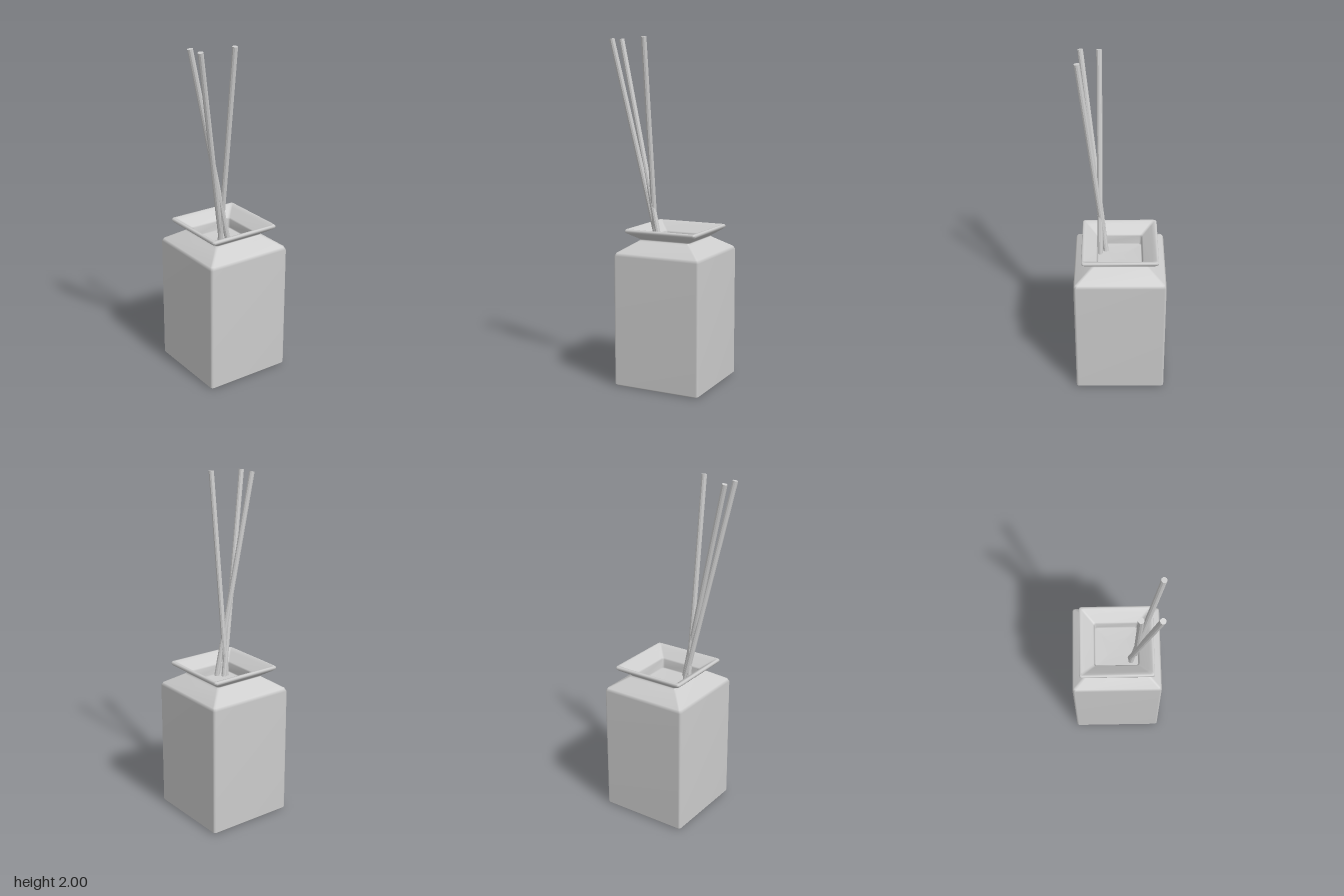
import * as THREE from 'three';

const CORNER = 0.014; // radius of the rounded vertical edges
const STEPS = 2;      // segments per rounded corner

// Rounded-square cross-section of half width h
function section(h) {
  const r = Math.min(CORNER, h), pts = [];
  for (let q = 0; q < 4; q++) {
    const mid = (q + 0.5) * Math.PI / 2;
    const cx = Math.sign(Math.cos(mid)) * (h - r), cz = Math.sign(Math.sin(mid)) * (h - r);
    for (let s = 0; s <= STEPS; s++) {
      const a = (q + s / STEPS) * Math.PI / 2;
      pts.push([cx + r * Math.cos(a), cz + r * Math.sin(a)]);
    }
  }
  return pts;
}

// Skin a [halfWidth, y] profile with rounded-square sections
function squareLathe(profile) {
  const pos = [], index = [], n = 4 * (STEPS + 1);
  profile.forEach(([h, y], i) => {
    for (const [x, z] of section(h)) pos.push(x, y, z);
    if (i === 0) return;
    for (let j = 0; j < n; j++) {
      const k = (j + 1) % n, lo = (i - 1) * n, hi = i * n;
      index.push(lo + j, hi + j, lo + k, hi + j, hi + k, lo + k);
    }
  });
  const geo = new THREE.BufferGeometry();
  geo.setAttribute('position', new THREE.Float32BufferAttribute(pos, 3));
  geo.setIndex(index);
  geo.computeVertexNormals();
  return geo;
}

// Straight stick between two points
function stick(from, to, radius, material) {
  const a = new THREE.Vector3(...from), b = new THREE.Vector3(...to);
  const dir = b.clone().sub(a);
  const mesh = new THREE.Mesh(new THREE.CylinderGeometry(radius, radius, dir.length(), 10), material);
  mesh.position.copy(a).add(b).multiplyScalar(0.5);
  mesh.quaternion.setFromUnitVectors(new THREE.Vector3(0, 1, 0), dir.normalize());
  return mesh;
}

export function createModel() {
  const group = new THREE.Group();
  const glass = new THREE.MeshStandardMaterial({ color: 0xcccccc });
  const wood = new THREE.MeshStandardMaterial({ color: 0xcccccc, flatShading: true });

  // Bottle: base, body, shoulder, neck, flared lip, then down inside to the liquid
  const bottle = new THREE.Mesh(squareLathe([
    [0, 0], [0.258, 0], [0.267, 0.009],
    [0.267, 0.765], [0.258, 0.783],
    [0.166, 0.843], [0.158, 0.85], [0.158, 0.855], [0.166, 0.861],
    [0.214, 0.892], [0.222, 0.901], [0.222, 0.91], [0.217, 0.916],
    [0.206, 0.916], [0.188, 0.902],
    [0.138, 0.864], [0.131, 0.856],
    [0.131, 0.806], [0.126, 0.8], [0, 0.8],
  ]), glass);
  bottle.name = 'bottle';
  bottle.position.x = 0.02;
  group.add(bottle);

  // Reeds leaning out of the neck
  const reeds = new THREE.Group();
  reeds.name = 'reeds';
  [
    [[-0.018, 0.795, 0.117], [-0.27, 1.99, 0.112]],
    [[-0.046, 0.795, 0.082], [-0.274, 1.99, 0.216]],
    [[-0.066, 0.795, 0.085], [-0.066, 1.998, 0.228]],
  ].forEach(([from, to], i) => {
    const reed = stick(from, to, 0.016, wood);
    reed.name = 'reed' + (i + 1);
    reeds.add(reed);
  });
  group.add(reeds);
  return group;
}
